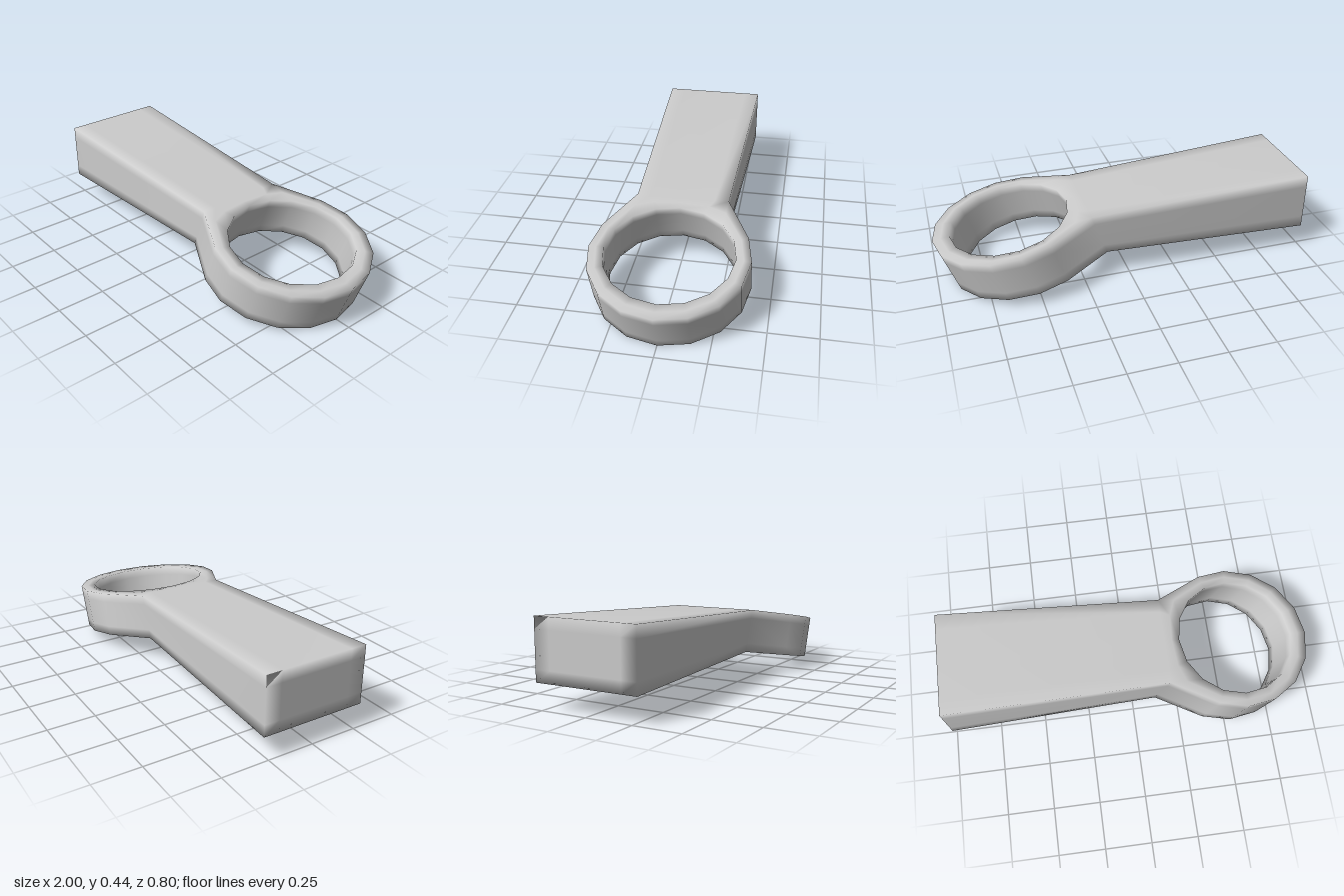
import * as THREE from 'three';
import { mergeVertices } from 'three/addons/utils/BufferGeometryUtils.js';

const SIDES = 16;
const LEVELS = [0, 0.2, 0.8, 1];          // heights up every wall, 0 = underside
const COLUMNS = [-1, -0.7, 0, 0.7, 1];    // positions across the arm
const ROWS = [0, 0.5, 1];                 // positions from hole to rim
const lerp = THREE.MathUtils.lerp;

// Point of the tilted head: x, z on its top plane, t the height in the slab
function headPoint(x, z, t) {
  const top = 0.375 - 0.18 * (x - 0.2);
  return [x - 0.08 * (1 - t), top - 0.225 * (1 - t), z];
}

// Ring point at side k; the rim's back sides open out into the end of the arm
function ringPoint(k, f, t) {
  k = (k + SIDES) % SIDES;
  const a = (k / SIDES) * Math.PI * 2;
  let ox = 0.6 + 0.4 * Math.cos(a), oz = 0.4 * Math.sin(a);
  if (k >= 6 && k <= 10) {
    ox = 0.2;
    oz = 0.24 * COLUMNS[10 - k];
  }
  const ix = 0.595 + 0.315 * Math.cos(a), iz = 0.325 * Math.sin(a);
  return headPoint(lerp(ix, ox, f), lerp(iz, oz, f), t);
}

// Arm point: s = 0 at the free end, 1 at the ring; c across; t up
function armPoint(s, c, t) {
  const joint = headPoint(0.2, 0.24 * c, t);
  const end = [-1, lerp(0.135, 0.445, t), 0.28 * c];
  return end.map((v, i) => lerp(v, joint[i], s));
}

export function createModel() {
  const pos = [];
  // Patch of quads facing du x dv
  const patch = (nu, nv, f) => {
    for (let i = 0; i < nu; i++) {
      for (let j = 0; j < nv; j++) {
        const a = f(i, j), b = f(i + 1, j), c = f(i + 1, j + 1), d = f(i, j + 1);
        pos.push(...a, ...b, ...c, ...a, ...c, ...d);
      }
    }
  };

  // Ring: top, underside, hole wall, outer wall
  patch(SIDES, 2, (k, r) => ringPoint(k, ROWS[r], 1));
  patch(2, SIDES, (r, k) => ringPoint(k, ROWS[r], 0));
  patch(SIDES, 3, (k, l) => ringPoint(k, 0, LEVELS[l]));
  patch(3, 12, (l, k) => ringPoint(k + 10, 1, LEVELS[l]));

  // Arm: top, underside, two sides, end cap
  patch(4, 1, (c, s) => armPoint(s, COLUMNS[c], 1));
  patch(1, 4, (s, c) => armPoint(s, COLUMNS[c], 0));
  patch(1, 3, (s, l) => armPoint(s, 1, LEVELS[l]));
  patch(3, 1, (l, s) => armPoint(s, -1, LEVELS[l]));
  patch(4, 3, (c, l) => armPoint(0, COLUMNS[c], LEVELS[l]));

  // Weld the patches so the shading runs smoothly over the edges
  let geometry = new THREE.BufferGeometry();
  geometry.setAttribute('position', new THREE.Float32BufferAttribute(pos, 3));
  geometry = mergeVertices(geometry, 1e-4);
  geometry.computeVertexNormals();

  const mesh = new THREE.Mesh(geometry, new THREE.MeshStandardMaterial({ color: 0xcccccc }));
  mesh.name = 'ringEndedArm';
  const group = new THREE.Group();
  group.name = 'lever';
  group.add(mesh);
  return group;
}
